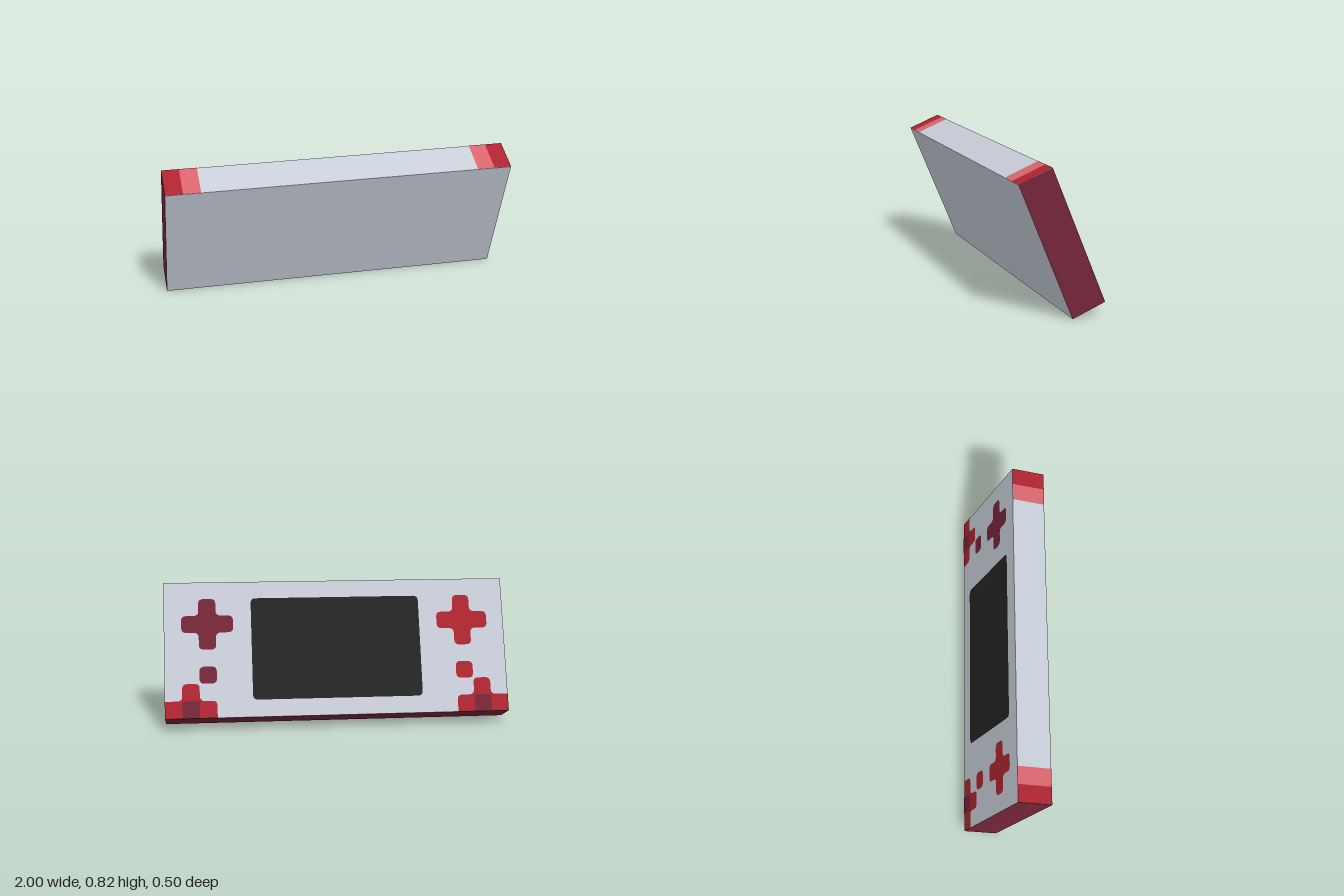
import * as THREE from 'three';

const W = 2, H = 0.8, D = 0.2, TILT = Math.PI / 8, LIFT = 0.002;

const mat = (name, color) => {
  const m = new THREE.MeshStandardMaterial({ color });
  m.name = name;
  return m;
};

// Polygon outline with softened corners; a third value per point overrides the radius
function softShape(points, radius = 0.03) {
  const shape = new THREE.Shape();
  const n = points.length;
  points.forEach((p, i) => {
    const c = new THREE.Vector2(p[0], p[1]);
    const r = p[2] ?? radius;
    const prev = new THREE.Vector2(...points[(i + n - 1) % n].slice(0, 2));
    const next = new THREE.Vector2(...points[(i + 1) % n].slice(0, 2));
    const a = prev.sub(c).setLength(r).add(c);
    const b = next.sub(c).setLength(r).add(c);
    if (i === 0) shape.moveTo(a.x, a.y);
    else shape.lineTo(a.x, a.y);
    if (r > 0) shape.quadraticCurveTo(c.x, c.y, b.x, b.y);
  });
  shape.closePath();
  return shape;
}

const rect = (x0, y0, x1, y1) => [[x0, y0], [x1, y0], [x1, y1], [x0, y1]];

export function createModel() {
  const grey = mat('casing grey', 0xc8ced8);
  const red = mat('red', 0xae2430);
  const pink = mat('pink', 0xd8656e);
  const maroon = mat('maroon', 0x742538);
  const black = mat('screen black', 0x242424);

  const model = new THREE.Group();
  model.name = 'handheldConsole';
  const body = new THREE.Group();
  body.name = 'tiltedBody';
  body.rotation.x = TILT;
  body.position.y = (H * Math.cos(TILT) + D * Math.sin(TILT)) / 2;
  model.add(body);

  // Casing: maroon ends and underside, grey elsewhere
  const casing = new THREE.Mesh(new THREE.BoxGeometry(W, H, D),
    [maroon, maroon, grey, maroon, grey, grey]);
  casing.name = 'casing';
  body.add(casing);

  // Shoulder buttons painted on the top edge
  for (const side of [-1, 1]) {
    [[0.95, red, 'shoulderButtonOuter'], [0.85, pink, 'shoulderButtonInner']].forEach(([x, m, name]) => {
      const strip = new THREE.Mesh(new THREE.PlaneGeometry(0.1, D), m);
      strip.name = name;
      strip.rotation.x = -Math.PI / 2;
      strip.position.set(side * x, H / 2 + LIFT, 0);
      body.add(strip);
    });
  }

  // Control face on the back: its own x runs towards the model's right
  const face = new THREE.Group();
  face.name = 'controlFace';
  face.rotation.y = Math.PI;
  face.position.z = -D / 2;
  body.add(face);
  const plate = (name, shape, material, x = 0, y = 0, layer = 1) => {
    const mesh = new THREE.Mesh(new THREE.ShapeGeometry(shape, 5), material);
    mesh.name = name;
    mesh.position.set(x, y, LIFT * layer);
    face.add(mesh);
  };

  plate('screen', softShape(rect(-0.495, -0.3, 0.495, 0.3)), black);

  const s = 0.05, l = 0.15;
  const cross = softShape([
    [-s, -l], [s, -l], [s, -s], [l, -s], [l, s], [s, s],
    [s, l], [-s, l], [-s, s], [-l, s], [-l, -s], [-s, -s],
  ]);
  const button = softShape(rect(-s, -s, s, s));

  for (const side of [-1, 1]) {
    const padMat = side < 0 ? maroon : red;
    plate('crossPad', cross, padMat, side * 0.75, 0.15);
    plate('smallButton', button, padMat, side * 0.75, -0.15);
    // Corner pad shaped like an upturned T, running off the lower edge
    const outer = side > 0 ? [[l, -s, 0], [l, s, 0]] : [[l, -s, 0], [l, s]];
    const inner = side > 0 ? [[-l, s], [-l, -s, 0]] : [[-l, s, 0], [-l, -s, 0]];
    plate('cornerPad', softShape([
      ...outer, [s, s], [s, l], [-s, l], [-s, s], ...inner,
    ]), red, side * 0.85, -0.35);
    plate('cornerPadCentre', softShape([[-s, -s, 0], [s, -s, 0], [s, s, 0.02], [-s, s, 0.02]]),
      maroon, side * 0.85, -0.35, 2);
  }

  return model;
}
